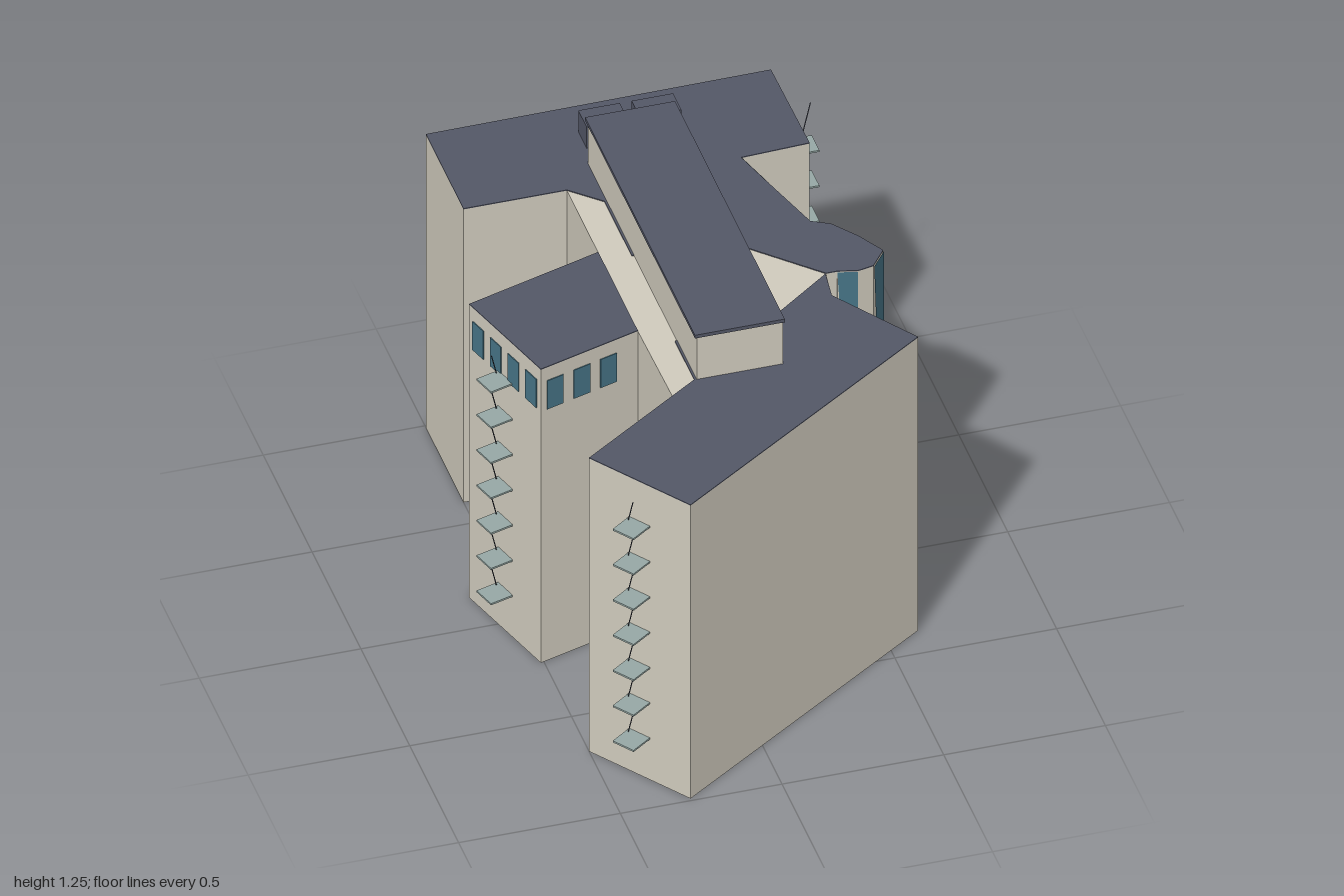
import * as THREE from 'three';

const H = 1.083; // main roof height

const mat = (name, color, side = THREE.FrontSide) => {
  const m = new THREE.MeshStandardMaterial({ color, side });
  m.name = name;
  return m;
};

// Outline going round the building: [x, z] at the top, then [x, z] at the ground where the wall is warped
const OUTLINE = [
  [-0.5, -0.99], [0.57, -1], [0.575, -0.62], [0.36, -0.61], [0.4, -0.47],
  [0.465, -0.25], [0.52, -0.22, 0.465, -0.25], [0.58, -0.14, 0.63, -0.05], [0.63, -0.05],
  [0.58, 0.015], [0.53, 0.025], [0.47, 0.01], [0.435, 0.01, 0.46, 0.02], [0.42, 0.12],
  [0.605, 0.39], [-0.28, 0.99], [-0.5, 0.68], [-0.175, 0.458],
  [-0.18, 0.12], [-0.51, 0.22], [-0.62, -0.15], [-0.18, -0.285], [-0.18, -0.605], [-0.5, -0.605],
];

// Closed solid between the ground outline and the top outline
function warpedPrism(outline, height) {
  const top = outline.map(p => new THREE.Vector2(p[0], p[1]));
  const bottom = outline.map(p => new THREE.Vector2(p[2] ?? p[0], p[3] ?? p[1]));
  const pos = [];
  const put = (v, y) => pos.push(v.x, y, v.y);
  const cap = (pts, y, up) => {
    for (const [i, j, k] of THREE.ShapeUtils.triangulateShape(pts, [])) {
      const t = [pts[i], pts[j], pts[k]];
      if ((THREE.ShapeUtils.area(t) < 0) !== up) t.reverse();
      t.forEach(v => put(v, y));
    }
  };
  for (let i = 0; i < top.length; i++) {
    const j = (i + 1) % top.length;
    put(bottom[i], 0); put(top[i], height); put(bottom[j], 0);
    put(top[i], height); put(top[j], height); put(bottom[j], 0);
  }
  cap(top, height, true);
  cap(bottom, 0, false);
  const g = new THREE.BufferGeometry();
  g.setAttribute('position', new THREE.Float32BufferAttribute(pos, 3));
  g.computeVertexNormals();
  return g;
}

// Flat slab from plan outlines [x, z]
function slab(plans, y, depth) {
  const shapes = plans.map(pts => new THREE.Shape(pts.map(([x, z]) => new THREE.Vector2(x, -z))));
  const g = new THREE.ExtrudeGeometry(shapes, { depth, bevelEnabled: false });
  return g.rotateX(-Math.PI / 2).translate(0, y, 0);
}

export function createModel() {
  const model = new THREE.Group();
  model.name = 'building';
  const wall = mat('wall', 0xd0cbbd);
  const roof = mat('roof', 0x535766);
  const darkGlass = mat('dark glass', 0x467486, THREE.DoubleSide);
  const paleGlass = mat('pale glass', 0x96a8a5, THREE.DoubleSide);

  const add = (name, geometry, material, parent = model) => {
    const m = new THREE.Mesh(geometry, material);
    m.name = name;
    parent.add(m);
    return m;
  };
  const box = (name, material, x0, x1, y0, y1, z0, z1, parent) =>
    add(name, new THREE.BoxGeometry(x1 - x0, y1 - y0, z1 - z0)
      .translate((x0 + x1) / 2, (y0 + y1) / 2, (z0 + z1) / 2), material, parent);

  // Walls of all wings
  add('walls', warpedPrism(OUTLINE, H), wall);

  // Dark roofing; the terraces beside the penthouse stay wall coloured
  add('roofing', slab([
    [[-0.5, -0.99], [0.57, -1], [0.575, -0.62], [0.36, -0.61], [-0.18, -0.605], [-0.5, -0.605]],
    [[-0.18, -0.605], ...OUTLINE.slice(3, 13).map(p => [p[0], p[1]]),
      [0.185, -0.24], [-0.09, -0.24], [-0.09, -0.52]],
    [[-0.5, 0.68], [-0.09, 0.4], [-0.09, 0.2], [0.185, 0.2], [0.433, 0.012], [0.42, 0.12], [0.605, 0.39], [-0.28, 0.99]],
    [[-0.62, -0.15], [-0.18, -0.285], [-0.18, 0.12], [-0.51, 0.22]],
  ], H, 0.003), roof);

  // Penthouse and roof vents
  box('penthouse', wall, -0.083, 0.183, H, 1.242, -0.71, 0.402);
  box('penthouseRoof', roof, -0.09, 0.188, 1.242, 1.254, -0.718, 0.407);
  for (const x of [-0.065, 0.1]) box('roofVent', roof, x, x + 0.128, H, 1.165, -0.87, -0.785);

  // Tapering glass: full width at the top, a point at the ground below tip
  const taper = (name, a, b, tip, material) => {
    const len = Math.hypot(b[0] - a[0], b[1] - a[1]);
    const nx = (b[1] - a[1]) / len * 0.003, nz = -(b[0] - a[0]) / len * 0.003;
    const g = new THREE.BufferGeometry();
    g.setAttribute('position', new THREE.Float32BufferAttribute([
      tip[0] + nx, 0.005, tip[1] + nz, a[0] + nx, H, a[1] + nz, b[0] + nx, H, b[1] + nz], 3));
    g.computeVertexNormals();
    add(name, g, material);
  };
  const [c0, c1] = [OUTLINE[3], OUTLINE[4]];
  taper('cornerGlass', c0, c1, c0, paleGlass);
  taper('towerSideGlass', OUTLINE[8], OUTLINE[9], OUTLINE[8], darkGlass);
  taper('towerFrontGlass', OUTLINE[10], OUTLINE[11], OUTLINE[10], darkGlass);

  // Entrance canopy
  add('entranceCanopy', slab([[[0.46, -0.245], [0.625, -0.245], [0.625, -0.12], [0.56, -0.12]]], 0.112, 0.006), wall);

  // Top-floor windows around the side wing: start, end, distances along the wall
  const windowRow = (a, b, distances) => {
    const dx = b[0] - a[0], dz = b[1] - a[1], len = Math.hypot(dx, dz);
    const row = new THREE.Group();
    row.name = 'windowRow';
    row.position.set(a[0], 0, a[1]);
    row.rotation.y = Math.atan2(-dz, dx);
    for (const d of distances) if (d < len) box('window', darkGlass, d - 0.029, d + 0.029, 0.93, 1.035, -0.003, 0.003, row);
    model.add(row);
  };
  windowRow([-0.62, -0.15], [-0.51, 0.22], [0.05, 0.145, 0.24, 0.335]);
  windowRow([-0.62, -0.15], [-0.18, -0.285], [0.05, 0.145, 0.24]);
  windowRow([-0.51, 0.22], [-0.18, 0.12], [0.05, 0.145, 0.24]);

  // Balcony stacks: local +x points away from the wall
  const balconies = (x, z, outX, outZ) => {
    const stack = new THREE.Group();
    stack.name = 'balconyStack';
    stack.position.set(x, 0, z);
    stack.rotation.y = Math.atan2(-outZ, outX);
    const up = new THREE.Vector3(0, 1, 0);
    for (let i = 0; i < 7; i++) {
      const y = 0.152 + i * 0.1305;
      box('balcony', paleGlass, -0.005, 0.076, y - 0.003, y + 0.003, -0.039, 0.039, stack);
      const from = new THREE.Vector3(0.01, y, 0.032), to = new THREE.Vector3(0.07, y + 0.13, -0.032);
      const dir = to.clone().sub(from);
      const rod = add('balconyBrace', new THREE.CylinderGeometry(0.0018, 0.0018, dir.length(), 4), roof, stack);
      rod.position.copy(from).add(to).multiplyScalar(0.5);
      rod.quaternion.setFromUnitVectors(up, dir.normalize());
    }
    model.add(stack);
  };
  balconies(0.573, -0.805, 1, 0);
  balconies(-0.565, 0.037, -0.958, 0.285);
  balconies(-0.393, 0.836, -0.816, 0.579);

  return model;
}
